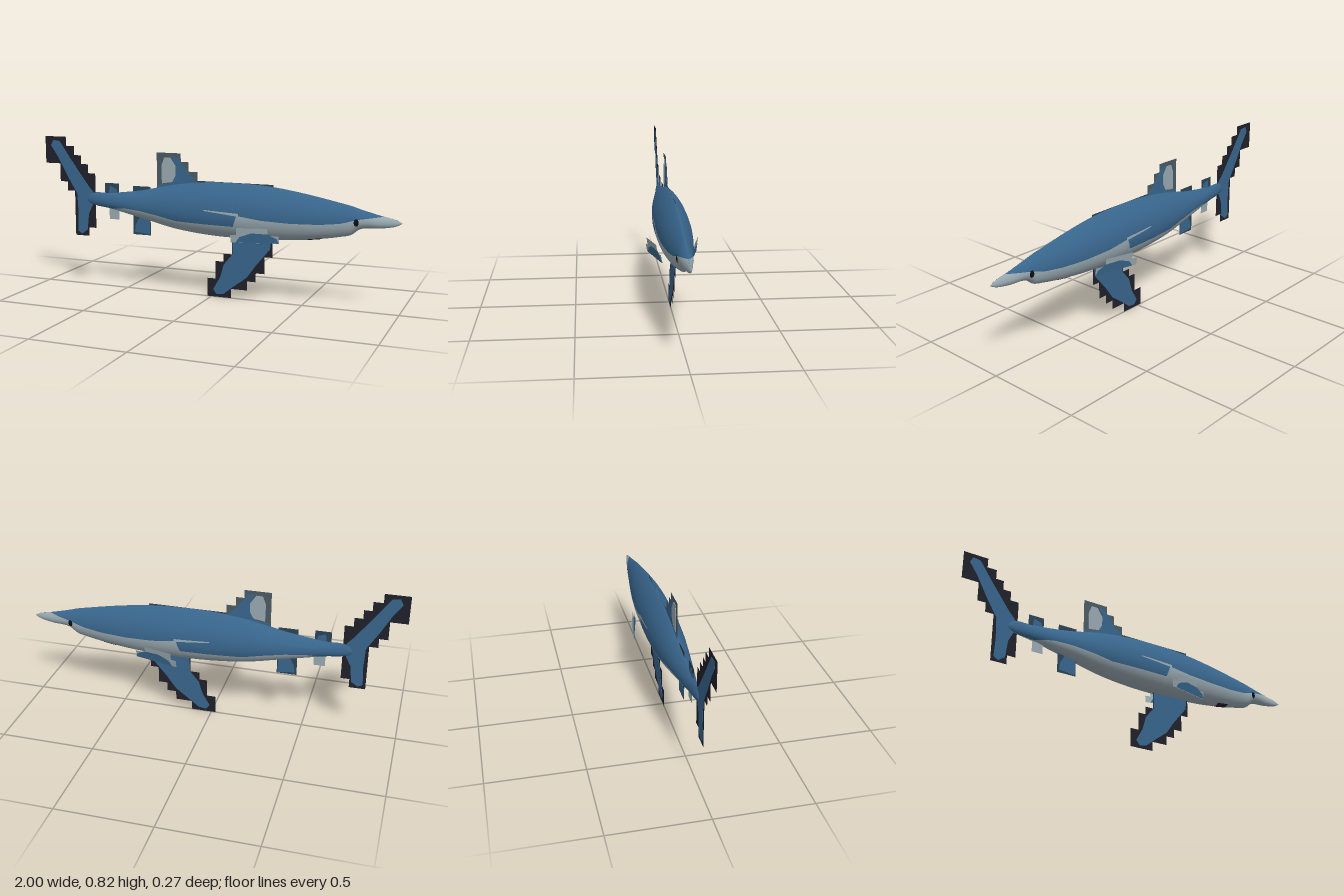
import * as THREE from 'three';

const mat = (name, color, side = THREE.FrontSide) => {
  const m = new THREE.MeshStandardMaterial({ color, side });
  m.name = name;
  return m;
};

// Body stations: x, then top, bottom and half width
const STATIONS = [
  [-0.74, 0.495, 0.475, 0.004], [-0.72, 0.514, 0.462, 0.010], [-0.6, 0.525, 0.44, 0.026],
  [-0.4, 0.552, 0.398, 0.054], [-0.2, 0.595, 0.355, 0.076], [0, 0.616, 0.334, 0.087],
  [0.2, 0.617, 0.33, 0.087], [0.34, 0.608, 0.334, 0.083], [0.5, 0.585, 0.346, 0.071],
  [0.7, 0.546, 0.377, 0.047], [0.75, 0.535, 0.39, 0.041], [0.79, 0.523, 0.42, 0.036],
  [0.9, 0.495, 0.433, 0.02], [0.97, 0.48, 0.447, 0.008], [1, 0.466, 0.462, 0.001],
];
const spline = new THREE.CubicInterpolant(
  STATIONS.map((s) => s[0]), STATIONS.flatMap((s) => s.slice(1)), 3, new Float32Array(3));

// Height of the line between blue back and pale belly
const LINE = [[-0.74, 0.44], [-0.64, 0.437], [-0.5, 0.452], [-0.4, 0.446], [-0.28, 0.428], [-0.18, 0.408],
  [0, 0.404], [0.15, 0.402], [0.17, 0.462], [0.3, 0.445], [0.45, 0.438], [0.6, 0.44], [0.7, 0.45],
  [0.76, 0.466], [0.8, 0.476], [0.88, 0.488], [0.95, 0.498], [1, 0.52]];
function lineY(x) {
  const i = Math.max(1, LINE.findIndex((p) => p[0] >= x - 1e-9));
  const [a, b] = [LINE[i - 1], LINE[i]];
  return THREE.MathUtils.lerp(a[1], b[1], (x - a[0]) / (b[0] - a[0]));
}

// Section: round below, tapering to a ridge above
function section(x) {
  const [top, bottom, w] = spline.evaluate(x);
  const mid = bottom + (top - bottom) * 0.42;
  return {
    angleAt: (y) => Math.asin(THREE.MathUtils.clamp((y - mid) / (y > mid ? top - mid : mid - bottom), -0.985, 0.985)),
    point: (a, side, lift = 0) => {
      const c = Math.max(0, Math.cos(a));
      const s = Math.sin(a);
      return [x, mid + s * ((s > 0 ? top - mid : mid - bottom) + lift),
        side * ((w + lift) * (s > 0 ? Math.pow(c, 1.65) : c))];
    },
  };
}

// Grid of rings joined into faces; pick(j) gives the material slot of a column
function loft(rings, pick, materials) {
  const n = rings[0].length;
  const slots = materials.map(() => []);
  for (let i = 0; i < rings.length - 1; i++) {
    for (let j = 0; j < n - 1; j++) {
      const a = i * n + j, b = a + n;
      slots[pick(j)].push(a, b, a + 1, b, b + 1, a + 1);
    }
  }
  const g = new THREE.BufferGeometry();
  g.setAttribute('position', new THREE.Float32BufferAttribute(rings.flat(2), 3));
  g.setIndex(slots.flat());
  let start = 0;
  slots.forEach((s, k) => { g.addGroup(start, s.length, k); start += s.length; });
  g.computeVertexNormals();
  return new THREE.Mesh(g, materials);
}

const toShape = (pts) => new THREE.Shape(pts.map((p) => new THREE.Vector2(p[0], p[1])));
const box = (x0, y0, x1, y1) => [[x0, y0], [x1, y0], [x1, y1], [x0, y1]];

export function createModel() {
  const D = THREE.DoubleSide;
  const blue = mat('back blue', 0x38658c, D);
  const pale = mat('belly grey', 0x98a8b0, D);
  const dark = mat('fin edge dark', 0x20202a, D);
  const slate = mat('fin slate', 0x4a5a64, D);
  const deep = mat('fin deep blue', 0x2c4355, D);
  const black = mat('eye black', 0x0c0e12, D);

  const model = new THREE.Group();
  const add = (name, mesh) => { mesh.name = name; model.add(mesh); return mesh; };

  // Body: columns run belly, left line, ridge, right line, belly
  const K = 10;
  const rings = [];
  for (let i = 0; i <= 174; i++) {
    const x = -0.74 + i * 0.01;
    const s = section(x);
    const b = s.angleAt(lineY(x));
    const half = [];
    for (let k = 0; k <= K; k++) half.push(THREE.MathUtils.lerp(-Math.PI / 2, b, k / K));
    for (let k = 1; k <= K; k++) half.push(THREE.MathUtils.lerp(b, Math.PI / 2, k / K));
    const right = half.map((a) => s.point(a, -1));
    const left = half.map((a) => s.point(a, 1)).reverse();
    rings.push([...right, ...left.slice(1)]);
  }
  rings.forEach((r) => r.reverse());
  add('body', loft(rings, (j) => (j < K || j >= 3 * K ? 1 : 0), [blue, pale]));

  // Thin patch lying on the body
  function patch(name, x0, x1, low, high, side, material) {
    const rows = [];
    for (let i = 0; i <= 12; i++) {
      const x = THREE.MathUtils.lerp(x0, x1, i / 12);
      const s = section(x);
      const a0 = s.angleAt(low(i / 12)), a1 = s.angleAt(high(i / 12));
      const row = [];
      for (let k = 0; k <= 4; k++) row.push(s.point(THREE.MathUtils.lerp(a0, a1, k / 4), side, 0.0015));
      rows.push(side > 0 ? row : row.reverse());
    }
    // rows wind so that faces look outward
    rows.forEach((r) => r.reverse());
    rows.reverse();
    rows.forEach((r) => r.reverse());
    rows.reverse();
    rows.forEach((r) => r.reverse());
    return add(name, loft(rows, () => 0, [material]));
  }
  for (const side of [1, -1]) {
    const tag = side > 0 ? 'left' : 'right';
    patch(tag + 'FlankStreak', -0.01, 0.18, (t) => 0.476 - 0.018 * t, (t) => 0.481 - 0.008 * t, side, pale);
    const bulge = (t) => 0.018 * Math.sqrt(Math.max(0, 1 - (2 * t - 1) ** 2));
    patch(tag + 'Eye', 0.768, 0.793, (t) => 0.459 - bulge(t), (t) => 0.459 + bulge(t), side, black);
  }

  // Mouth: a thin plate under the jaw
  const mouthRows = [];
  for (let i = 0; i <= 6; i++) {
    const s = section(0.53 + i * 0.012);
    const row = [];
    for (let k = 0; k <= 8; k++) {
      const t = (k / 8 - 0.5) * 0.85;
      row.push(s.point(-Math.PI / 2 + Math.abs(t), t < 0 ? -1 : 1, 0.0015));
    }
    mouthRows.push(row.reverse());
  }
  mouthRows.forEach((r) => r.reverse());
  mouthRows.forEach((r) => r.reverse());
  add('mouth', loft(mouthRows, () => 0, [dark]));

  // Flat fins on the centre plane: card behind, painted plate on both faces
  const card = (name, pts, m) => add(name, new THREE.Mesh(new THREE.ShapeGeometry(toShape(pts)), m));
  function plate(name, pts, m, depth = 0.004) {
    const g = new THREE.ExtrudeGeometry(toShape(pts), { depth, bevelEnabled: false });
    g.translate(0, 0, -depth / 2);
    return add(name, new THREE.Mesh(g, m));
  }

  // Tail
  card('tailFinEdge', [[-1, 0.825], [-0.87, 0.825], [-0.87, 0.775], [-0.82, 0.775], [-0.82, 0.725],
    [-0.778, 0.725], [-0.778, 0.677], [-0.735, 0.677], [-0.735, 0.628], [-0.69, 0.628], [-0.69, 0.323],
    [-0.735, 0.323], [-0.735, 0.275], [-0.82, 0.275], [-0.82, 0.525], [-0.865, 0.525], [-0.865, 0.575],
    [-0.91, 0.575], [-0.91, 0.675], [-1, 0.675]], dark);
  plate('tailFin', [[-0.95, 0.805], [-0.91, 0.8], [-0.84, 0.7], [-0.74, 0.565], [-0.7, 0.52], [-0.7, 0.47],
    [-0.735, 0.4], [-0.745, 0.31], [-0.78, 0.285], [-0.805, 0.3], [-0.8, 0.4], [-0.805, 0.51], [-0.86, 0.6],
    [-0.92, 0.71], [-0.965, 0.775]], blue);

  // Dorsal fin and ridge
  card('dorsalFinEdge', [[-0.315, 0.76], [-0.175, 0.76], [-0.175, 0.715], [-0.13, 0.715], [-0.13, 0.665],
    [-0.08, 0.665], [-0.08, 0.55], [-0.315, 0.55]], slate);
  plate('dorsalFin', [[-0.315, 0.55], [-0.08, 0.55], [-0.09, 0.615], [-0.14, 0.665], [-0.19, 0.735],
    [-0.23, 0.745], [-0.2, 0.69], [-0.21, 0.62], [-0.25, 0.59], [-0.315, 0.585]], blue);
  plate('dorsalPatch', [[-0.285, 0.595], [-0.225, 0.605], [-0.205, 0.64], [-0.205, 0.69], [-0.235, 0.735],
    [-0.27, 0.735], [-0.287, 0.69]], pale, 0.006);
  card('backRidge', box(-0.08, 0.55, 0.34, 0.619), deep);

  // Small rear fins
  card('secondDorsalFinEdge', box(-0.63, 0.46, -0.545, 0.58), deep);
  plate('secondDorsalFin', [[-0.61, 0.5], [-0.55, 0.5], [-0.56, 0.55], [-0.6, 0.565]], blue);
  card('analFin', box(-0.605, 0.38, -0.545, 0.46), pale);
  card('pelvicFinEdge', box(-0.46, 0.305, -0.355, 0.572), deep);
  plate('pelvicFin', [[-0.45, 0.32], [-0.36, 0.31], [-0.36, 0.42], [-0.41, 0.42], [-0.445, 0.36]], blue);

  // Hanging fin
  card('lowerFinEdge', [[0.34, 0.36], [0.34, 0.238], [0.297, 0.238], [0.297, 0.147], [0.249, 0.147],
    [0.249, 0.099], [0.2, 0.099], [0.2, 0.05], [0.11, 0.05], [0.11, 0], [-0.024, 0], [-0.024, 0.099],
    [0.024, 0.099], [0.024, 0.195], [0.067, 0.195], [0.067, 0.238], [0.115, 0.238], [0.115, 0.36]], dark);
  plate('lowerFin', [[0.12, 0.35], [0.335, 0.35], [0.325, 0.28], [0.25, 0.19], [0.2, 0.12], [0.12, 0.06],
    [0.07, 0.02], [0.03, 0.015], [0.01, 0.04], [0.05, 0.11], [0.07, 0.18], [0.12, 0.24]], blue);

  // Side fins: cards leaning out towards the tail
  const sideCard = [[0.155, 0.33], [0.395, 0.33], [0.395, 0.37], [0.34, 0.37], [0.34, 0.408], [0.185, 0.408],
    [0.185, 0.37], [0.155, 0.37]];
  const sidePaint = [[0.18, 0.331], [0.394, 0.331], [0.385, 0.355], [0.34, 0.378], [0.26, 0.382], [0.2, 0.36]];
  for (const side of [1, -1]) {
    const tag = side > 0 ? 'left' : 'right';
    for (const [name, pts, m, lift] of [['SideFinEdge', sideCard, pale, 0], ['SideFin', sidePaint, blue, 0.002],
      ['SideFinInner', sidePaint, blue, -0.002]]) {
      const p = card(tag + name, pts, m).geometry.attributes.position;
      for (let i = 0; i < p.count; i++) {
        const x = p.getX(i), y = p.getY(i);
        p.setZ(i, side * (0.07 + (0.395 - x) * 0.24 + (y - 0.33) * 0.15 + lift));
      }
      const g = model.children[model.children.length - 1].geometry;
      // Mirrored copies keep their winding outward
      if (side < 0) g.setIndex([...g.index.array].reverse());
      g.computeVertexNormals();
    }
  }
  return model;
}
